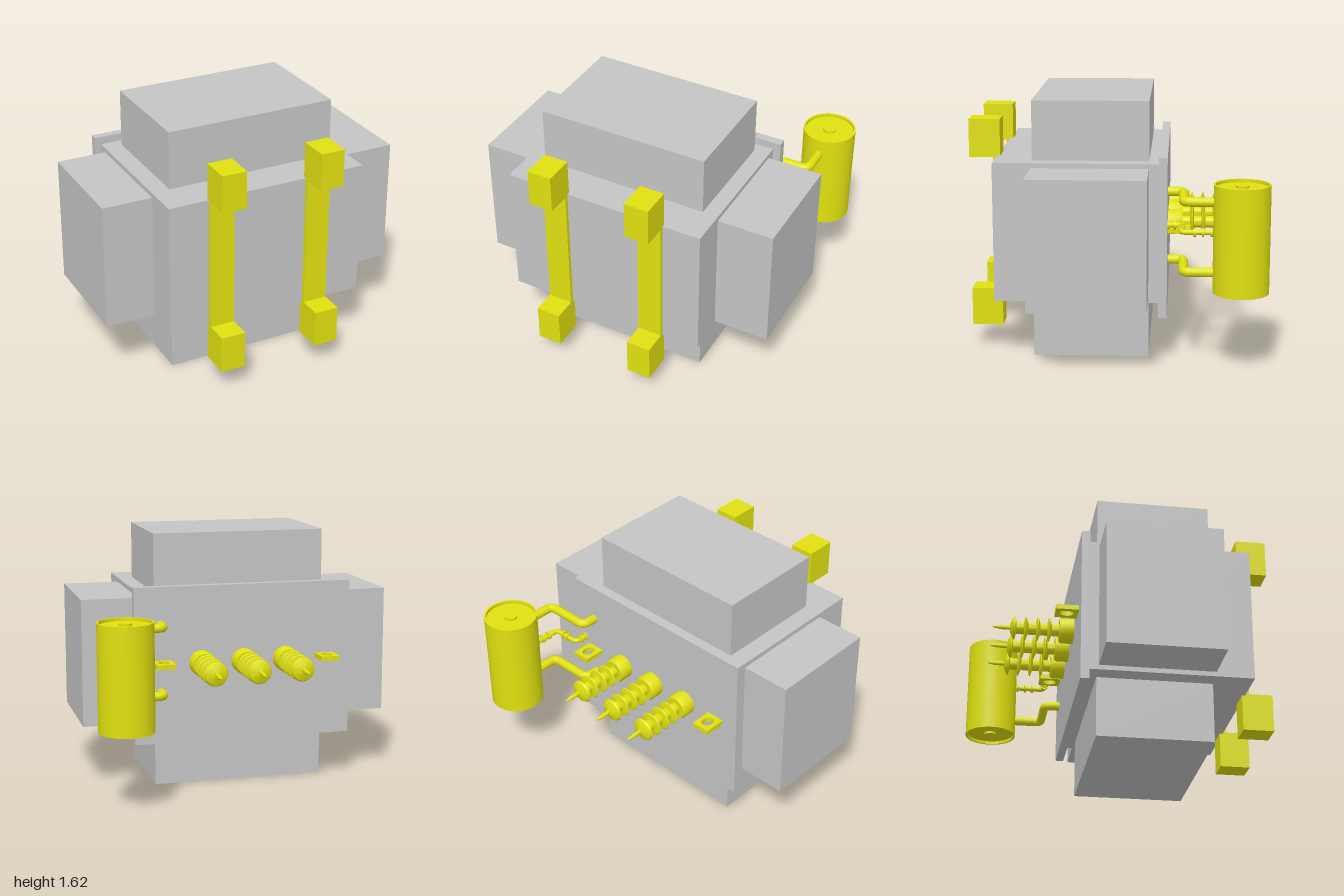
import * as THREE from 'three';
import { toCreasedNormals } from 'three/addons/utils/BufferGeometryUtils.js';

export function createModel() {
  const root = new THREE.Group();
  root.name = 'powerTransformer';
  const grey = new THREE.MeshStandardMaterial({ color: 0xc4c4c4 });
  grey.name = 'tank grey';
  const yellow = new THREE.MeshStandardMaterial({ color: 0xe0e010 });
  yellow.name = 'fitting yellow';

  const add = (name, geometry, material, parent = root) => {
    const mesh = new THREE.Mesh(geometry, material);
    mesh.name = name;
    parent.add(mesh);
    return mesh;
  };
  // Box given by its extents
  const box = (name, material, x0, x1, y0, y1, z0, z1, parent) => {
    const mesh = add(name, new THREE.BoxGeometry(x1 - x0, y1 - y0, z1 - z0), material, parent);
    mesh.position.set((x0 + x1) / 2, (y0 + y1) / 2, (z0 + z1) / 2);
    return mesh;
  };
  const lathe = (points, segments = 32) => toCreasedNormals(
    new THREE.LatheGeometry(points.map(([r, h]) => new THREE.Vector2(r, h)), segments), 0.6);

  // Tank, cover plate and the four cooling blocks
  box('tank', grey, -0.68, 0.64, 0.38, 1.25, -0.265, 0.755);
  box('coverPlate', grey, -0.72, 0.69, 0.3, 1.3, -0.315, -0.262);
  box('rightRadiator', grey, -1, -0.68, 0.41, 1.22, -0.2, 0.52);
  box('leftRadiator', grey, 0.64, 1, 0.41, 1.22, -0.2, 0.52);
  box('upperRadiator', grey, -0.565, 0.54, 1.25, 1.62, -0.2, 0.52);
  box('lowerRadiator', grey, -0.565, 0.54, 0, 0.38, -0.2, 0.52);

  // Two skid rails with a block at each end
  for (const x of [-0.42, 0.235]) {
    const rail = new THREE.Group();
    rail.name = 'skidRail';
    root.add(rail);
    box('railStrip', yellow, x, x + 0.158, 0.39, 1.24, 0.755, 0.78, rail);
    box('lowerRailBlock', yellow, x, x + 0.158, 0.15, 0.39, 0.735, 0.93, rail);
    box('upperRailBlock', yellow, x, x + 0.158, 1.24, 1.48, 0.735, 0.93, rail);
  }

  // Bushings: base cup, ribbed insulator and pointed terminal
  const profile = [[0, 0], [0.08, 0], [0.08, 0.075], [0.072, 0.09], [0.038, 0.09]];
  for (const h of [0.153, 0.225, 0.302]) {
    profile.push([0.038, h - 0.015], [0.078, h], [0.074, h + 0.005], [0.038, h + 0.012]);
  }
  profile.push([0.038, 0.362], [0.075, 0.37], [0.068, 0.383], [0.036, 0.396], [0.014, 0.402],
    [0.014, 0.455], [0.008, 0.495], [0, 0.515]);
  const bushingGeometry = lathe(profile);
  for (const x of [-0.29, -0.015, 0.26]) {
    const bushing = add('bushing', bushingGeometry, yellow);
    bushing.rotation.x = -Math.PI / 2;
    bushing.position.set(x, 0.81, -0.315);
  }

  // Lifting lugs with an oval eye
  const lugShape = new THREE.Shape([[-0.06, -0.07], [0.06, -0.07], [0.06, 0.07], [-0.06, 0.07]]
    .map(([x, y]) => new THREE.Vector2(x, y)));
  lugShape.holes.push(new THREE.Path().absellipse(0, 0, 0.034, 0.043, 0, Math.PI * 2, true));
  const lugGeometry = new THREE.ExtrudeGeometry(lugShape, { depth: 0.03, bevelEnabled: false, curveSegments: 24 });
  for (const x of [-0.55, 0.515]) {
    const lug = add('liftingLug', lugGeometry, yellow);
    lug.rotation.x = Math.PI / 2;
    lug.position.set(x, 0.835, -0.385);
  }

  // Conservator drum with recessed ends and centre hubs
  const drum = add('conservator', lathe([
    [0, -0.295], [0.04, -0.295], [0.04, -0.31], [0.158, -0.31], [0.158, -0.33], [0.17, -0.33],
    [0.17, 0.33], [0.158, 0.33], [0.158, 0.31], [0.04, 0.31], [0.04, 0.325], [0, 0.325],
  ], 48), yellow);
  // Lower end: recessed disc and hub are mirrored from the upper one
  const drumPosition = new THREE.Vector3(0.825, 0.84, -0.76);
  drum.position.copy(drumPosition);
  const hub = add('conservatorHub', new THREE.CylinderGeometry(0.04, 0.04, 0.64, 32), yellow);
  hub.position.copy(drumPosition);
  hub.position.y -= 0.005;

  // Bent pipe running from the cover plate to the drum at height y
  const pipe = (name, x0, x1, y, zBend, radius, bend) => {
    const v = (x, z) => new THREE.Vector3(x, y, z);
    const path = new THREE.CurvePath();
    path.add(new THREE.LineCurve3(v(x0, -0.31), v(x0, zBend + bend)));
    path.add(new THREE.QuadraticBezierCurve3(v(x0, zBend + bend), v(x0, zBend), v(x0 + bend, zBend)));
    path.add(new THREE.LineCurve3(v(x0 + bend, zBend), v(x1 - bend, zBend)));
    path.add(new THREE.QuadraticBezierCurve3(v(x1 - bend, zBend), v(x1, zBend), v(x1, zBend - bend)));
    path.add(new THREE.LineCurve3(v(x1, zBend - bend), v(x1, -0.62)));
    add(name, new THREE.TubeGeometry(path, 80, radius, 16), yellow);
  };
  pipe('upperPipe', 0.52, 0.823, 1.06, -0.413, 0.029, 0.045);
  pipe('lowerPipe', 0.52, 0.823, 0.63, -0.413, 0.029, 0.045);
  pipe('relayPipe', 0.615, 0.8, 0.87, -0.4, 0.016, 0.03);

  // Flanges on the thin pipe
  const flange = (x, z, alongX) => {
    const ring = add('pipeFlange', new THREE.CylinderGeometry(0.027, 0.027, 0.014, 20), yellow);
    ring.position.set(x, 0.87, z);
    if (alongX) ring.rotation.z = Math.PI / 2;
    else ring.rotation.x = Math.PI / 2;
  };
  flange(0.615, -0.322, false);
  flange(0.615, -0.36, false);
  flange(0.69, -0.4, true);
  flange(0.73, -0.4, true);
  for (const z of [-0.48, -0.53, -0.582]) flange(0.8, z, false);

  return root;
}
